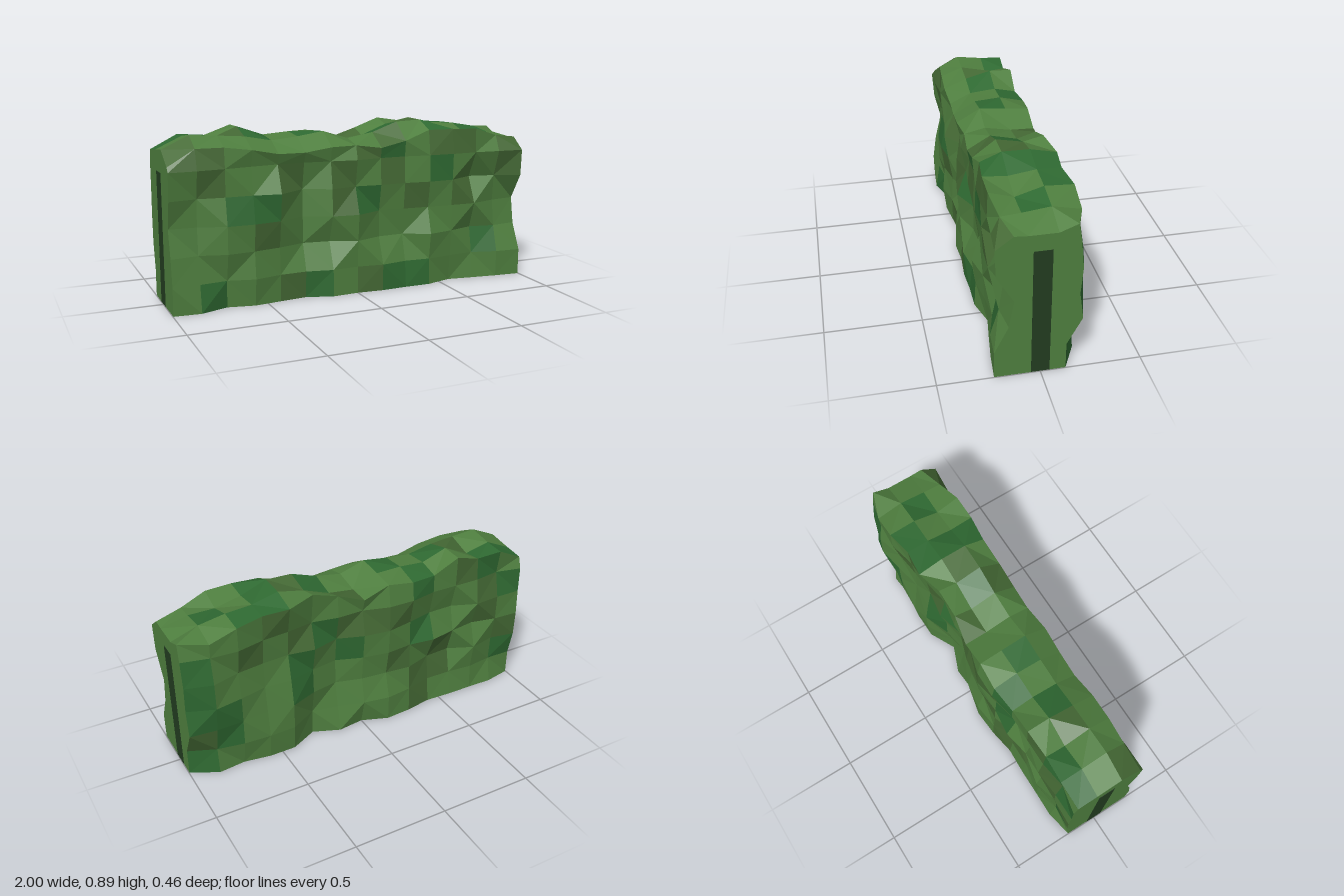
import * as THREE from 'three';

const COLS = 14, ROWS = 6, STEP = 0.143, HALF = 0.998;

// Outline depth and height for each column from -x to +x
const topY = [.81, .875, .865, .89, .84, .85, .86, .815, .84, .89, .895, .86, .85, .825, .81];
const frontRim = [.21, .235, .2, .225, .22, .2, .22, .225, .23, .215, .215, .205, .205, .22, .22];
const frontMid = [.19, .19, .2, .215, .195, .17, .185, .195, .2, .19, .21, .19, .165, .18, .17];
const backRim = [.2, .215, .215, .205, .215, .235, .23, .21, .19, .19, .22, .225, .24, .24, .205];

// Front top edge: height, depth and the depth of the row just below it
const edgeY = [.74, .82, .82, .8, .77, .77, .79, .79, .77, .8, .85, .85, .845, .8, .78];
const edgeZ = [.19, .18, .19, .195, .185, .19, .195, .18, .19, .19, .18, .195, .195, .17, .135];
const underEdgeZ = [.21, .21, .2, .18, .165, .165, .18, .2, .18, .18, .2, .205, .2, .21, .222];

// Flat ends of the hedge: depth per row, bottom to top edge
const endFront = { 0: [.215, .22, .2, .165, .2, .21, .19], [COLS]: [.225, .225, .155, .13, .215, .222, .135] };
const endBack = { 0: [.17, .17, .2, .205, .2, .2, .18], [COLS]: [.125, .125, .2, .18, .19, .175, .16] };

// Leaf shades: fresh, deep and olive
const SHADES = [['freshFoliage', 0x4f7f3f], ['deepFoliage', 0x2f6a32], ['oliveFoliage', 0x456a35]];
const DARK = 0x223c20;

function seeded(seed) {
  let s = seed;
  return () => ((s = (s * 16807) % 2147483647) / 2147483647);
}

// One cross-section: up the front, over the top, down the back
function section(i, rand) {
  const x = -HALF + (2 * HALF * i) / COLS;
  const front = [], back = [];
  for (let r = 0; r <= ROWS; r++) {
    const rf = rand(), rb = rand();
    let zf = frontRim[i] - rf * 0.035;
    if (r > 1) zf = Math.min(frontMid[i] + (rf - 0.5) * 0.075, 0.225);
    if (r === 5) zf = underEdgeZ[i];
    let zb = backRim[i] - rb * 0.06;
    if (r === ROWS) {
      zf = edgeZ[i];
      zb = backRim[i] - 0.01 - rb * 0.03;
    }
    if (endFront[i]) {
      zf = endFront[i][r];
      zb = endBack[i][r];
    }
    const top = r === ROWS;
    front.push(new THREE.Vector3(x, top ? edgeY[i] : r * STEP, zf));
    back.push(new THREE.Vector3(x, top ? topY[i] - rand() * 0.035 : r * STEP, -zb));
  }
  const dip = rand() * 0.045, side = rand() < 0.5;
  const ridge = [
    new THREE.Vector3(x, topY[i] - (side ? dip : 0), 0.07),
    new THREE.Vector3(x, topY[i] - (side ? 0 : dip), -0.07),
  ];
  // The +x end is clipped flat along its top
  if (i === COLS) ridge.forEach((p) => (p.y = 0.775));
  if (i === COLS) back[ROWS].y = 0.81;
  return [...front, ...ridge, ...back.reverse()];
}

function facetMesh(name, color, pos) {
  const geo = new THREE.BufferGeometry();
  geo.setAttribute('position', new THREE.Float32BufferAttribute(pos, 3));
  geo.computeVertexNormals();
  const mesh = new THREE.Mesh(geo, new THREE.MeshStandardMaterial({ color, flatShading: true }));
  mesh.name = name;
  return mesh;
}

function buildFoliage() {
  const rand = seeded(4711), tint = seeded(977);
  const rings = Array.from({ length: COLS + 1 }, (_, i) => section(i, rand));
  const n = rings[0].length;
  const leaves = SHADES.map(() => []);
  const under = [];
  const tri = (out, ...pts) => pts.forEach((p) => out.push(p.x, p.y, p.z));

  // Faceted skin with alternating diagonals; the last strip is the underside
  for (let i = 0; i < COLS; i++) {
    for (let j = 0; j < n; j++) {
      const k = (j + 1) % n;
      const a = rings[i][j], b = rings[i + 1][j], c = rings[i + 1][k], d = rings[i][k];
      const t = tint();
      const out = k === 0 ? under : leaves[t < 0.65 ? 0 : t < 0.82 ? 1 : 2];
      if ((i + j) % 2) {
        tri(out, a, b, c);
        tri(out, a, c, d);
      } else {
        tri(out, a, b, d);
        tri(out, b, c, d);
      }
    }
  }

  // Flat end faces, each wound to face outward
  for (const [ring, dir] of [[rings[0], -1], [rings[COLS], 1]]) {
    const outline = ring.map((p) => new THREE.Vector2(p.z, p.y));
    for (const [a, b, c] of THREE.ShapeUtils.triangulateShape(outline, [])) {
      const A = ring[a], B = ring[b], C = ring[c];
      const nx = B.clone().sub(A).cross(C.clone().sub(A)).x;
      if (nx * dir > 0) tri(leaves[0], A, B, C);
      else tri(leaves[0], A, C, B);
    }
  }

  const foliage = new THREE.Group();
  foliage.name = 'foliage';
  SHADES.forEach(([name, color], s) => foliage.add(facetMesh(name, color, leaves[s])));
  foliage.add(facetMesh('underside', DARK, under));
  return foliage;
}

export function createModel() {
  const group = new THREE.Group();
  group.name = 'hedge';
  group.add(buildFoliage());

  // Dark inner core, showing as a strip on both ends
  const core = new THREE.Mesh(
    new THREE.BoxGeometry(2, 0.688, 0.09),
    new THREE.MeshStandardMaterial({ color: DARK })
  );
  core.name = 'core';
  core.position.y = 0.346;
  group.add(core);

  return group;
}
